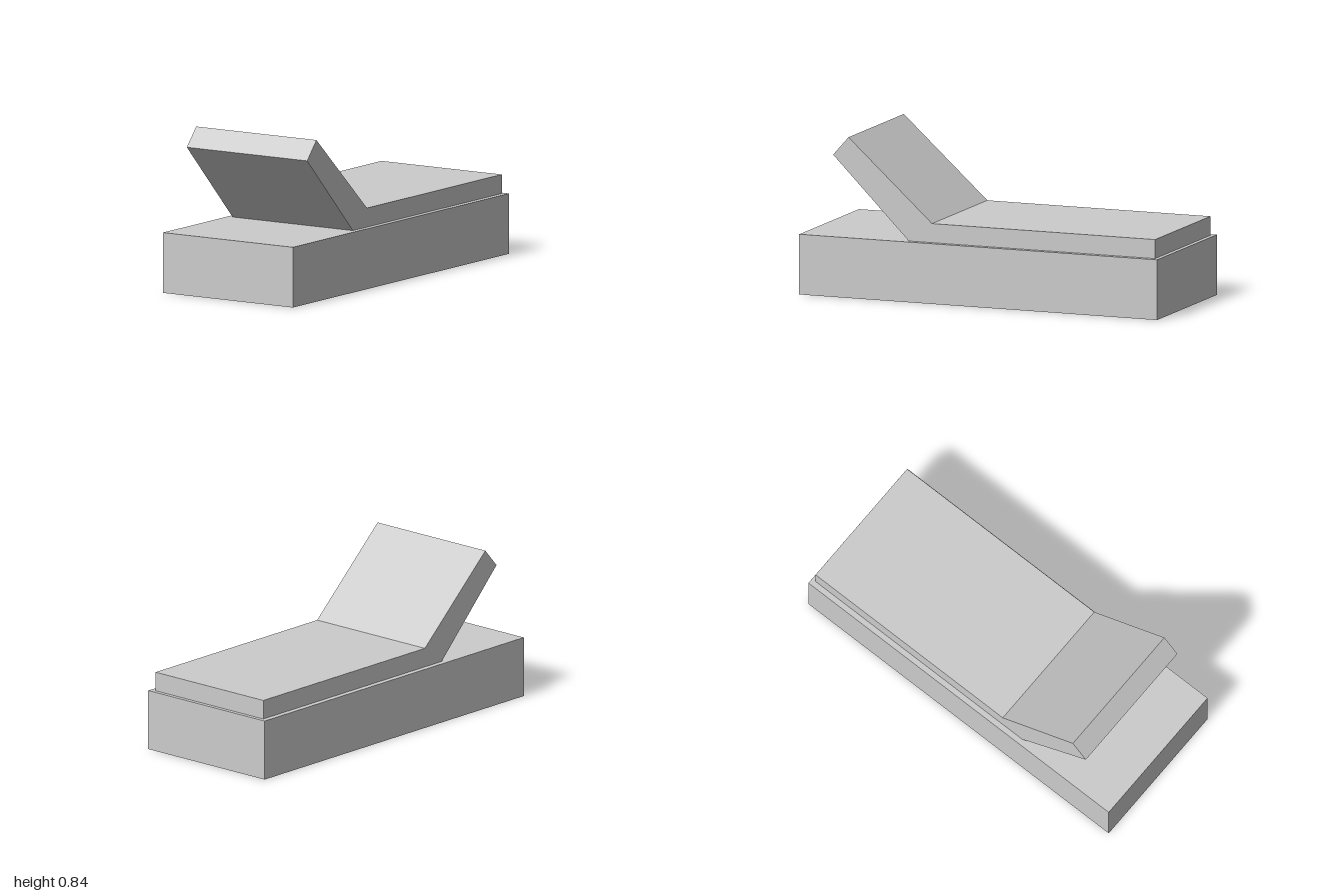
import * as THREE from 'three';

const BASE_HEIGHT = 0.316;
const MATTRESS_WIDTH = 0.75;

export function createModel() {
  const group = new THREE.Group();
  group.name = 'lounger';
  const material = new THREE.MeshStandardMaterial({ color: 0xcccccc, flatShading: true });

  // Solid block base
  const base = new THREE.Mesh(new THREE.BoxGeometry(0.81, BASE_HEIGHT, 2), material);
  base.name = 'base';
  base.position.y = BASE_HEIGHT / 2;
  group.add(base);

  // Mattress with raised backrest: side profile as (z, y), extruded across the width
  const profile = new THREE.Shape([
    [-0.977, BASE_HEIGHT],
    [0.4, BASE_HEIGHT],
    [0.823, 0.741],
    [0.737, 0.838],
    [0.27, 0.416],
    [-0.977, 0.416],
  ].map(([z, y]) => new THREE.Vector2(z, y)));
  const geometry = new THREE.ExtrudeGeometry(profile, { depth: MATTRESS_WIDTH, bevelEnabled: false });
  geometry.translate(0, 0, -MATTRESS_WIDTH / 2);
  geometry.rotateY(-Math.PI / 2);
  const mattress = new THREE.Mesh(geometry, material);
  mattress.name = 'mattress';
  group.add(mattress);

  return group;
}
